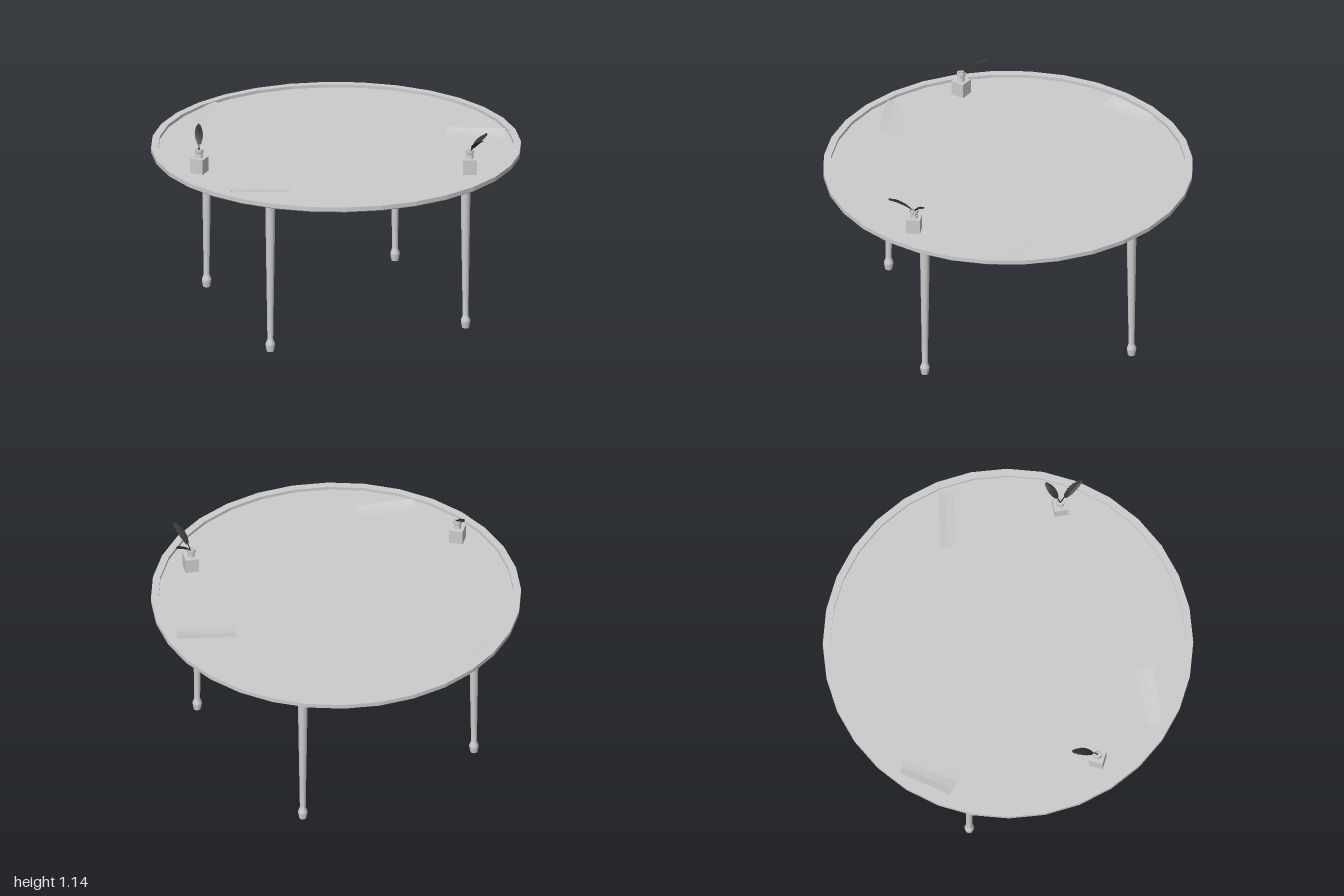
import * as THREE from 'three';
import { toCreasedNormals } from 'three/addons/utils/BufferGeometryUtils.js';

const grey = new THREE.MeshStandardMaterial({ color: 0xcccccc });
const paperMat = new THREE.MeshStandardMaterial({ color: 0xcccccc, side: THREE.DoubleSide, flatShading: true });
const featherMat = new THREE.MeshStandardMaterial({ color: 0x333333, side: THREE.DoubleSide });

const FLOOR = 0.913;

function add(parent, name, geometry, material = grey) {
  const mesh = new THREE.Mesh(geometry, material);
  mesh.name = name;
  parent.add(mesh);
  return mesh;
}

// Turned solid from [radius, height] pairs
function turned(profile, sides, crease) {
  const points = profile.map(([r, y]) => new THREE.Vector2(r, y));
  return toCreasedNormals(new THREE.LatheGeometry(points, sides, Math.PI / sides), crease);
}

// Sheet of (columns + 1) x (rows + 1) points given by point(u, v)
function sheet(columns, rows, point) {
  const positions = [], index = [];
  for (let j = 0; j <= rows; j++) {
    for (let i = 0; i <= columns; i++) {
      positions.push(...point(i / columns, j / rows).toArray());
      if (i < columns && j < rows) {
        const a = j * (columns + 1) + i, b = a + columns + 1;
        index.push(a, b, a + 1, a + 1, b, b + 1);
      }
    }
  }
  const geometry = new THREE.BufferGeometry();
  geometry.setAttribute('position', new THREE.Float32BufferAttribute(positions, 3));
  geometry.setIndex(index);
  geometry.computeVertexNormals();
  return geometry;
}

// Paper between four [x, z] corners; the last two form the curled outer edge
function paper(inner0, inner1, outer0, outer1) {
  const mix = THREE.MathUtils.lerp;
  return sheet(8, 14, (u, v) => {
    const x = mix(mix(inner0[0], inner1[0], u), mix(outer0[0], outer1[0], u), v);
    const z = mix(mix(inner0[1], inner1[1], u), mix(outer0[1], outer1[1], u), v);
    // slightly ragged borders
    const ragged = u === 0 || u === 1 || v === 0 ? 0.005 * Math.sin(23 * v + 17 * u) : 0;
    // curled end, with one corner turned up further
    const curl = Math.max(0, (v - 0.82) / 0.18);
    const corner = Math.max(0, (v - 0.8 - 0.2 * u) / 0.2);
    return new THREE.Vector3(x + ragged, FLOOR + 0.003 + 0.014 * curl * curl + 0.006 * corner, z + ragged);
  });
}

// Quill with an arched blade, leaning from the origin to a tip
function feather(dx, height, dz) {
  const group = new THREE.Group();
  group.name = 'feather';
  const curve = new THREE.QuadraticBezierCurve3(
    new THREE.Vector3(0, 0, 0),
    new THREE.Vector3(dx * 0.3, height * 0.75, dz * 0.3),
    new THREE.Vector3(dx, height, dz));
  const side = new THREE.Vector3(-dz, 0, dx).normalize();
  add(group, 'quillShaft', new THREE.TubeGeometry(curve, 12, 0.003, 5), featherMat);
  add(group, 'quillBlade', sheet(2, 14, (u, v) => {
    const width = 0.023 * Math.pow(Math.sin(Math.PI * (0.06 + 0.9 * v)), 0.6) * (Math.round(v * 14) % 2 ? 1 : 0.88);
    const p = curve.getPoint(0.28 + 0.72 * v).addScaledVector(side, (u * 2 - 1) * width);
    p.y -= Math.abs(u * 2 - 1) * 0.005;
    return p;
  }), featherMat);
  return group;
}

function inkwell(x, z, turn, tips) {
  const group = new THREE.Group();
  group.name = 'inkwell';
  group.position.set(x, FLOOR, z);
  const bottle = add(group, 'inkBottle', new THREE.BoxGeometry(0.076, 0.083, 0.076));
  bottle.position.y = 0.0415;
  bottle.rotation.y = turn;
  // neck and lip with an open mouth
  const neck = add(group, 'inkNeck', turned(
    [[0.021, 0.082], [0.017, 0.108], [0.024, 0.114], [0.024, 0.131], [0.015, 0.131], [0.013, 0.1], [0, 0.1]], 12, 0.6));
  neck.rotation.y = turn;
  for (const [dx, height, dz] of tips) {
    const quill = feather(dx, height, dz);
    quill.position.y = 0.105;
    group.add(quill);
  }
  return group;
}

export function createModel() {
  const model = new THREE.Group();
  model.name = 'table';

  // Round top with a raised rim and recessed surface
  const R = 1 / Math.cos(Math.PI / 32);
  add(model, 'tableTop', turned(
    [[0, 0.899], [R * 0.99, 0.899], [R, 0.906], [R, 0.93], [R * 0.96, 0.93], [R * 0.96, FLOOR], [0, FLOOR]], 32, 0.1));

  // Four tapered legs with turned feet
  const legGeometry = turned(
    [[0, 0], [0.02, 0], [0.026, 0.033], [0.026, 0.042], [0.016, 0.07], [0.018, 0.2], [0.026, 0.72], [0.027, 0.9]], 16, 0.45);
  for (const [x, z] of [[-0.77, 0.01], [0.78, 0.01], [-0.02, 0.8], [-0.02, -0.8]]) {
    add(model, 'leg', legGeometry).position.set(x, 0, z);
  }

  // Loose papers
  add(model, 'paper', paper([-0.49, 0.48], [-0.2, 0.26], [-0.19, 0.93], [0.1, 0.79]), paperMat);
  add(model, 'paper', paper([-0.32, 0.01], [-0.32, -0.33], [-0.93, -0.05], [-0.89, -0.35]), paperMat);
  add(model, 'paper', paper([0.93, -0.08], [0.62, 0.06], [0.73, -0.61], [0.42, -0.51]), paperMat);

  // Inkwells with quills
  model.add(inkwell(-0.51, 0.66, 0, [[-0.063, 0.121, -0.125]]));
  model.add(inkwell(0.825, 0.05, 0.45, [[0.117, 0.121, 0.088], [0.055, 0.096, -0.1]]));

  return model;
}
